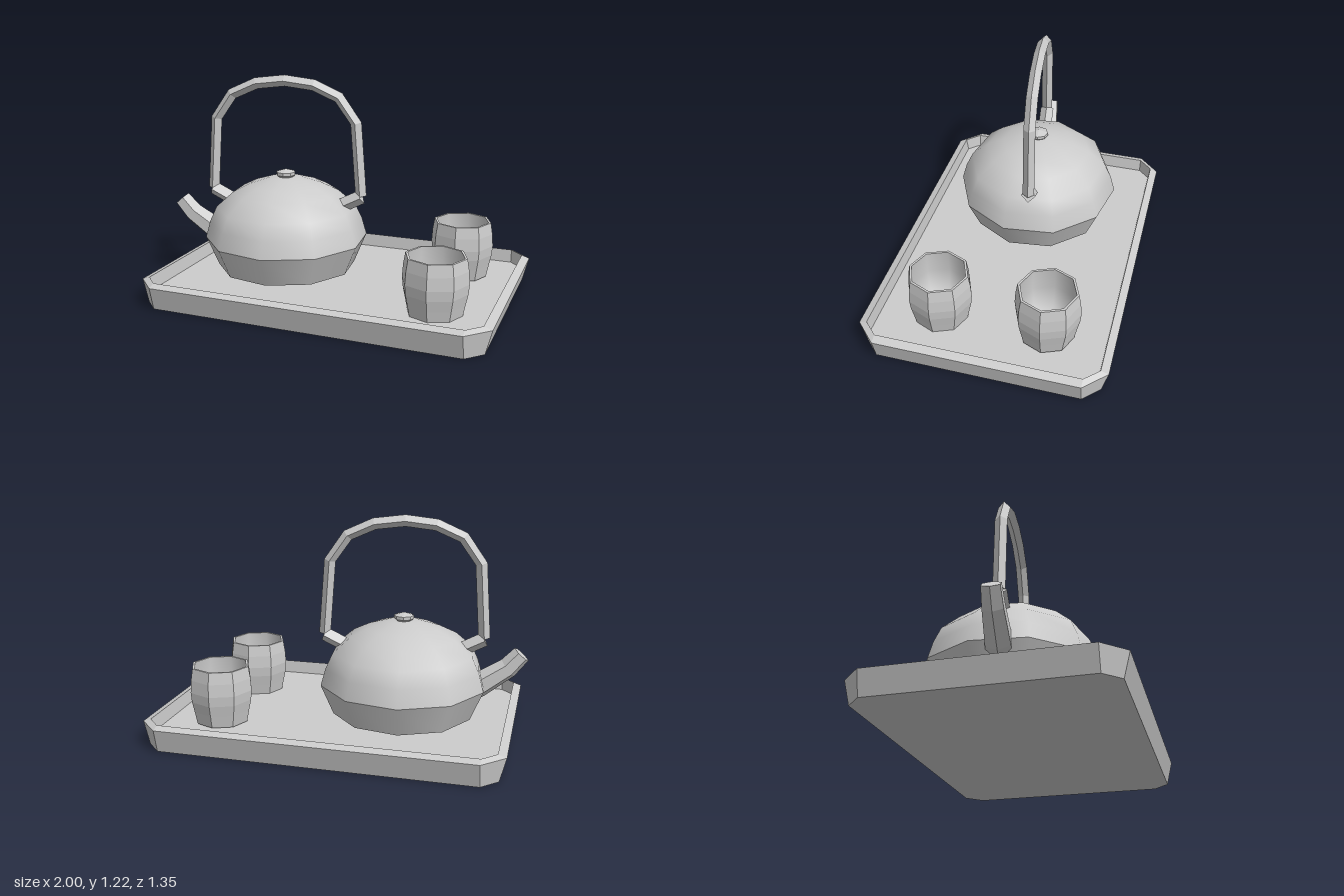
import * as THREE from 'three';

const smooth = new THREE.MeshStandardMaterial({ color: 0xcccccc });
const faceted = new THREE.MeshStandardMaterial({ color: 0xcccccc, flatShading: true });
const V = (x, y, z) => new THREE.Vector3(x, y, z);

function mesh(name, geometry, material = faceted) {
  const m = new THREE.Mesh(geometry, material);
  m.name = name;
  return m;
}

// Skin a list of equal-length rings and cap both ends, with hard edges
function loft(rings) {
  const pos = [];
  const n = rings[0].length;
  const tri = (...pts) => pts.forEach((p) => pos.push(p.x, p.y, p.z));
  for (let i = 0; i < rings.length - 1; i++) {
    for (let j = 0; j < n; j++) {
      const k = (j + 1) % n;
      tri(rings[i][j], rings[i][k], rings[i + 1][k]);
      tri(rings[i][j], rings[i + 1][k], rings[i + 1][j]);
    }
  }
  const first = rings[0], last = rings[rings.length - 1];
  for (let j = 1; j < n - 1; j++) {
    tri(first[0], first[j + 1], first[j]);
    tri(last[0], last[j], last[j + 1]);
  }
  const g = new THREE.BufferGeometry();
  g.setAttribute('position', new THREE.Float32BufferAttribute(pos, 3));
  g.computeVertexNormals();
  return g;
}

// Sweep a polygon along a path in the xy plane; each point is [x, y, radius]
function sweep(path, sides) {
  return loft(path.map(([x, y, r], i) => {
    const a = path[Math.max(i - 1, 0)], b = path[Math.min(i + 1, path.length - 1)];
    const t = V(b[0] - a[0], b[1] - a[1], 0).normalize();
    return Array.from({ length: sides }, (_, j) => {
      const q = (j / sides) * Math.PI * 2;
      return V(x - t.y * r * Math.cos(q), y + t.x * r * Math.cos(q), r * Math.sin(q));
    });
  }));
}

const lathe = (pts, sides) =>
  new THREE.LatheGeometry(pts.map(([r, y]) => new THREE.Vector2(r, y)), sides);

// Rectangle with cut corners, counter-clockwise from above
function trayRing(w, d, y) {
  const cx = 0.855, cz = 0.555;
  return [[w, cz], [w, -cz], [cx, -d], [-cx, -d], [-w, -cz], [-w, cz], [-cx, d], [cx, d]]
    .map(([x, z]) => V(x, y, z));
}

function createKettle() {
  const kettle = new THREE.Group();
  kettle.name = 'kettle';

  // Body: tapered base and ten-sided dome
  kettle.add(mesh('kettleBase', lathe([[0.395, 0.122], [0.466, 0.29]], 10), smooth));
  kettle.add(mesh('kettleBottom', lathe([[0, 0.122], [0.395, 0.122]], 10), smooth));
  kettle.add(mesh('kettleDome', lathe([
    [0.466, 0.29], [0.439, 0.385], [0.4, 0.47], [0.303, 0.555],
    [0.207, 0.602], [0.09, 0.639], [0, 0.643],
  ], 10), smooth));
  kettle.add(mesh('lidKnob', lathe([
    [0.035, 0.635], [0.055, 0.652], [0.055, 0.67], [0, 0.687],
  ], 8).toNonIndexed()));

  // Spout
  kettle.add(mesh('spout', sweep([
    [-0.34, 0.24, 0.074], [-0.42, 0.285, 0.071], [-0.575, 0.39, 0.059], [-0.645, 0.47, 0.052],
  ], 6)));

  // Arched handle on two pegs
  const half = [[0.44, 0.553], [0.41, 0.965], [0.312, 1.105], [0.167, 1.17]];
  const arch = [...half, [0, 1.19], ...half.map(([x, y]) => [-x, y]).reverse()];
  kettle.add(mesh('handle', sweep(arch.map(([x, y]) => [x, y, 0.032]), 4)));
  for (const s of [1, -1]) {
    kettle.add(mesh('handlePeg', sweep([[s * 0.3, 0.476, 0.04], [s * 0.442, 0.547, 0.04]], 4)));
  }

  kettle.position.x = -0.32;
  kettle.rotation.y = THREE.MathUtils.degToRad(7);
  return kettle;
}

// Eight-sided cup: barrel-shaped wall with a thin rim, rounded bowl inside
function createCup(y, z) {
  const cup = new THREE.Group();
  cup.name = 'cup';
  cup.add(mesh('cupWall', lathe([
    [0, 0.06], [0.147, 0.06], [0.161, 0.13], [0.174, 0.19], [0.179, 0.245],
    [0.174, 0.315], [0.163, 0.38], [0.15, 0.38],
  ], 8).toNonIndexed()));
  cup.add(mesh('cupBowl', lathe([
    [0.15, 0.38], [0.155, 0.25], [0.14, 0.15], [0.09, 0.1], [0, 0.085],
  ], 8), smooth));
  cup.position.set(0.648, y, z);
  return cup;
}

export function createModel() {
  const model = new THREE.Group();
  model.name = 'teaSet';

  // Tray: flared sides, sloping lip, recessed floor
  const tray = mesh('tray', loft([
    trayRing(0.94, 0.64, 0), trayRing(0.973, 0.673, 0.13),
    trayRing(0.928, 0.63, 0.145), trayRing(0.917, 0.62, 0.07),
  ]));
  tray.position.x = 0.027;
  model.add(tray);

  model.add(createKettle());
  model.add(createCup(0, 0.295), createCup(0.02, -0.299));
  return model;
}
